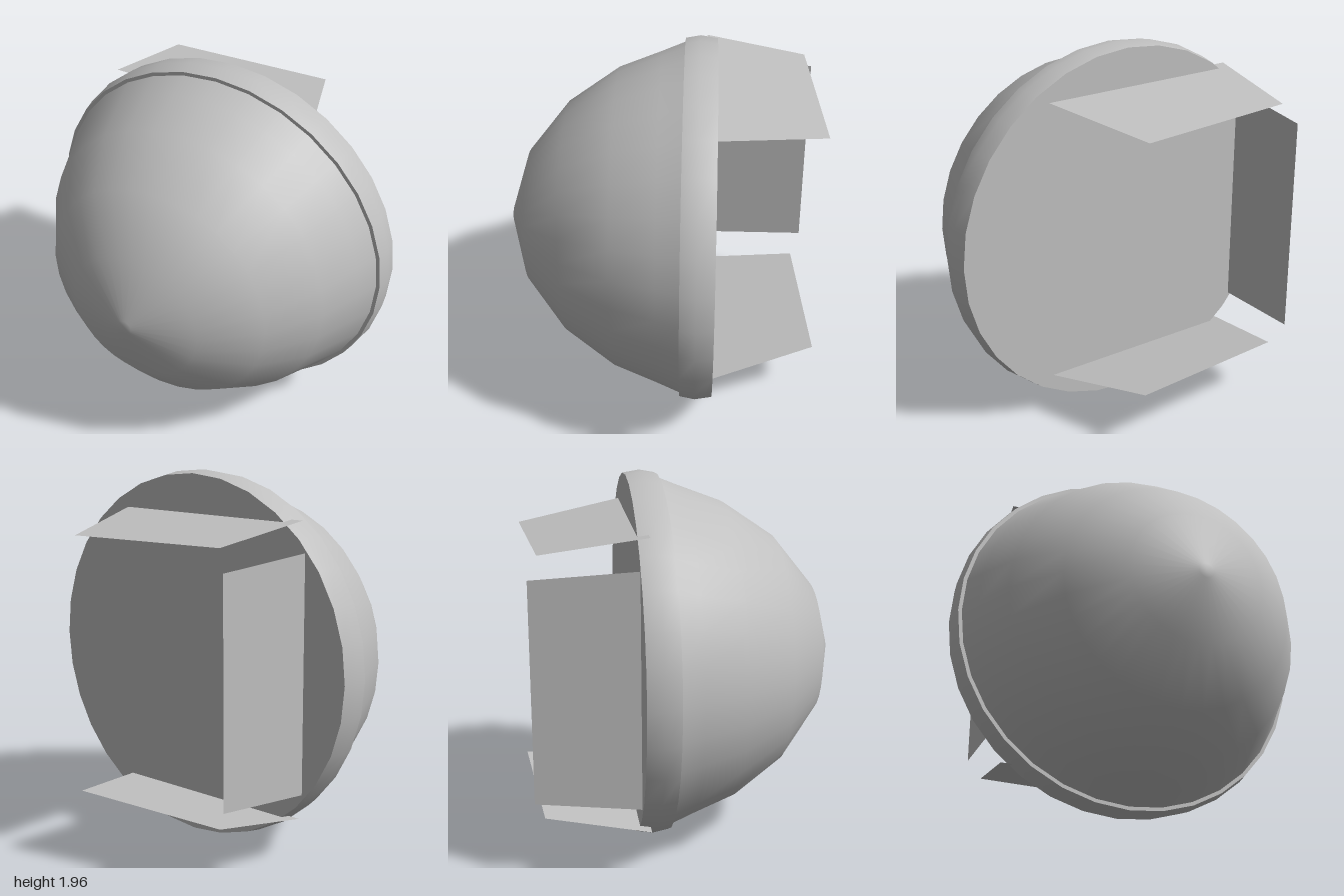
import * as THREE from 'three';

export function createModel() {
  const group = new THREE.Group();
  const grey = new THREE.MeshStandardMaterial({ color: 0xc0c0c0, side: THREE.DoubleSide });
  grey.name = 'light grey';

  // Turned part around the z axis, given [radius, z] pairs from back to front
  const turned = (name, profile) => {
    const geo = new THREE.LatheGeometry(profile.map(([r, z]) => new THREE.Vector2(r, z)), 32);
    geo.rotateX(Math.PI / 2);
    const mesh = new THREE.Mesh(geo, grey);
    mesh.name = name;
    mesh.scale.y = 0.98;
    mesh.position.y = 0.98;
    group.add(mesh);
  };
  turned('backDisc', [[0, -0.27], [0.985, -0.27]]);
  turned('rimBand', [[0.985, -0.27], [1, -0.18], [0.985, -0.1]]);
  turned('rimFront', [[0.985, -0.1], [0.962, -0.1]]);
  turned('dome', [[0.965, -0.1], [0.915, 0.02], [0.825, 0.25], [0.635, 0.52], [0.365, 0.73], [0.04, 0.825], [0, 0.825]]);

  // Flat four-cornered fin
  const fin = (name, corners) => {
    const geo = new THREE.BufferGeometry();
    geo.setAttribute('position', new THREE.Float32BufferAttribute(corners.flat(), 3));
    geo.setIndex([0, 1, 2, 0, 2, 3]);
    geo.computeVertexNormals();
    const mesh = new THREE.Mesh(geo, grey);
    mesh.name = name;
    group.add(mesh);
  };

  // Upper and lower fins mirror each other about the axis height
  const upper = [[0.495, 1.748, -0.215], [0.285, 1.655, -0.83], [-0.615, 1.665, -0.755], [-0.675, 1.748, -0.215]];
  fin('upperFin', upper);
  fin('lowerFin', upper.map(([x, y, z]) => [x, 1.965 - y, z]).reverse());

  // Upright fin on the -x side
  fin('sideFin', [[-0.74, 0.37, -0.22], [-0.74, 1.604, -0.22], [-0.68, 1.56, -0.805], [-0.68, 0.41, -0.805]]);

  return group;
}
